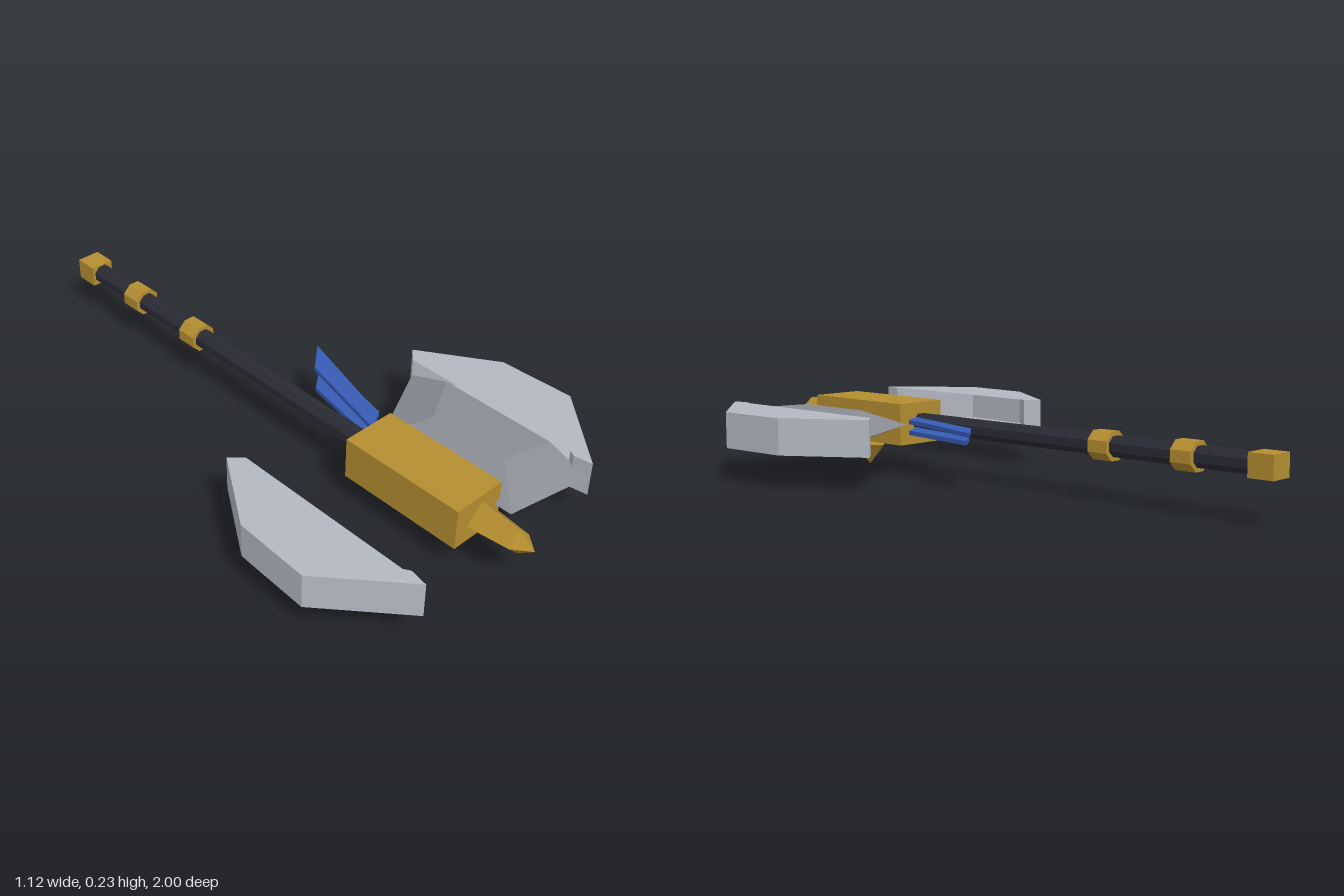
import * as THREE from 'three';

const AXIS_Y = 0.167; // height of the shaft line

function material(name, color, side = THREE.FrontSide) {
  const m = new THREE.MeshStandardMaterial({ color, side, flatShading: true });
  m.name = name;
  return m;
}

// Flat-faced geometry from polygons (each a list of [x, y, z] corners, convex, counter-clockwise)
function facets(polygons) {
  const pos = [];
  for (const p of polygons)
    for (let i = 1; i < p.length - 1; i++) pos.push(...p[0], ...p[i], ...p[i + 1]);
  const g = new THREE.BufferGeometry();
  g.setAttribute('position', new THREE.Float32BufferAttribute(pos, 3));
  g.computeVertexNormals();
  return g;
}

// Flat outline in x,z placed at height y
function plate(outline, y) {
  const g = new THREE.ShapeGeometry(new THREE.Shape(outline.map(([x, z]) => new THREE.Vector2(x, z))));
  return g.rotateX(Math.PI / 2).translate(0, y, 0);
}

export function createModel() {
  const group = new THREE.Group();
  const gold = material('gold', 0xb48d30);
  const dark = material('dark grip', 0x2a2a34);
  const silver = material('silver blade', 0xb4b8c2, THREE.DoubleSide);
  const steel = material('steel', 0x898d94, THREE.DoubleSide);
  const blue = material('blue', 0x375cb6, THREE.DoubleSide);

  const add = (parent, name, geometry, mat) => {
    const mesh = new THREE.Mesh(geometry, mat);
    mesh.name = name;
    parent.add(mesh);
    return mesh;
  };
  const box = (name, w, h, d, z, mat) =>
    add(group, name, new THREE.BoxGeometry(w, h, d), mat).position.set(0, AXIS_Y, z);
  // Eight-sided rod along z with flat top and sides
  const rod = (name, r, z0, z1, mat) => {
    const g = new THREE.CylinderGeometry(r, r, z1 - z0, 8, 1).rotateY(Math.PI / 8).rotateX(Math.PI / 2);
    add(group, name, g, mat).position.set(0, AXIS_Y, (z0 + z1) / 2);
  };

  // Shaft, bands, pommel and head block
  rod('shaft', 0.033, -0.93, 0.38, dark);
  rod('rearBand', 0.047, -0.74, -0.67, gold);
  rod('middleBand', 0.047, -0.445, -0.375, gold);
  box('pommel', 0.08, 0.07, 0.08, -0.96, gold);
  box('headBlock', 0.184, 0.137, 0.425, 0.588, gold);

  // Four-sided spikes; profile is [radius, height along the spike]
  const spike = (name, profile) => add(group, name,
    new THREE.LatheGeometry(profile.map(([r, h]) => new THREE.Vector2(r, h)), 4).toNonIndexed(), gold);
  const front = spike('frontSpike', [[0, 0], [0.058, 0], [0.043, 0.135], [0, 0.19]]);
  front.rotation.x = Math.PI / 2;
  front.position.set(0, AXIS_Y, 0.81);
  const lower = spike('lowerSpike', [[0, 0], [0.05, 0], [0.07, 0.025], [0, 0.095]]);
  lower.rotation.x = Math.PI;
  lower.position.set(0, 0.098, 0.63);

  // Hollow blades, open on the side towards the head
  const outline = [[0.35, 0.23], [0.39, 0.19], [0.548, 0.43], [0.56, 0.68], [0.35, 0.92], [0.34, 0.86], [0.352, 0.84]];
  const yLow = 0.11, yHigh = 0.225;
  for (const side of [1, -1]) {
    const blade = new THREE.Group();
    blade.name = side > 0 ? 'leftBlade' : 'rightBlade';
    const pts = outline.map(([x, z]) => [x * side, z]);
    const walls = pts.slice(1).map(([x, z], i) => {
      const [px, pz] = pts[i];
      const quad = [[px, yLow, pz], [px, yHigh, pz], [x, yHigh, z], [x, yLow, z]];
      return side > 0 ? quad : quad.reverse();
    });
    add(blade, 'bladeWalls', facets(walls), silver);
    add(blade, 'bladeTop', plate(pts, yHigh), silver);
    add(blade, 'bladeBottom', plate(pts, yLow), silver);
    group.add(blade);
  }

  // Bevelled web joining the head to the left blade
  const web = [];
  const rim = [[0.07, AXIS_Y, 0.37], [0.07, AXIS_Y, 0.86], [0.35, AXIS_Y, 0.91], [0.35, AXIS_Y, 0.23]];
  for (const s of [1, -1]) {
    const y = AXIS_Y + s * 0.05;
    const flat = [[0.19, y, 0.46], [0.19, y, 0.73], [0.35, y, 0.77], [0.35, y, 0.37]];
    const faces = [flat];
    for (let i = 0; i < 4; i++) {
      const j = (i + 1) % 4;
      faces.push([rim[i], rim[j], flat[j], flat[i]]);
    }
    web.push(...faces.map((f) => (s > 0 ? f : [...f].reverse())));
  }
  add(group, 'bladeWeb', facets(web), steel);

  // Two stacked blue vanes swept back beside the shaft
  const vane = (name, pts, y) => {
    const shape = new THREE.Shape(pts.map(([x, z]) => new THREE.Vector2(x, z)));
    const g = new THREE.ExtrudeGeometry(shape, { depth: 0.014, bevelEnabled: false }).rotateX(Math.PI / 2);
    add(group, name, g, blue).position.y = y;
  };
  vane('upperVane', [[0.045, 0.35], [0.115, 0.31], [0.135, 0.22], [0.22, -0.065], [0.13, 0.015]], 0.191);
  vane('lowerVane', [[0.035, 0.36], [0.115, 0.31], [0.165, 0.0], [0.13, 0.03], [0.092, 0.06]], 0.156);

  return group;
}
